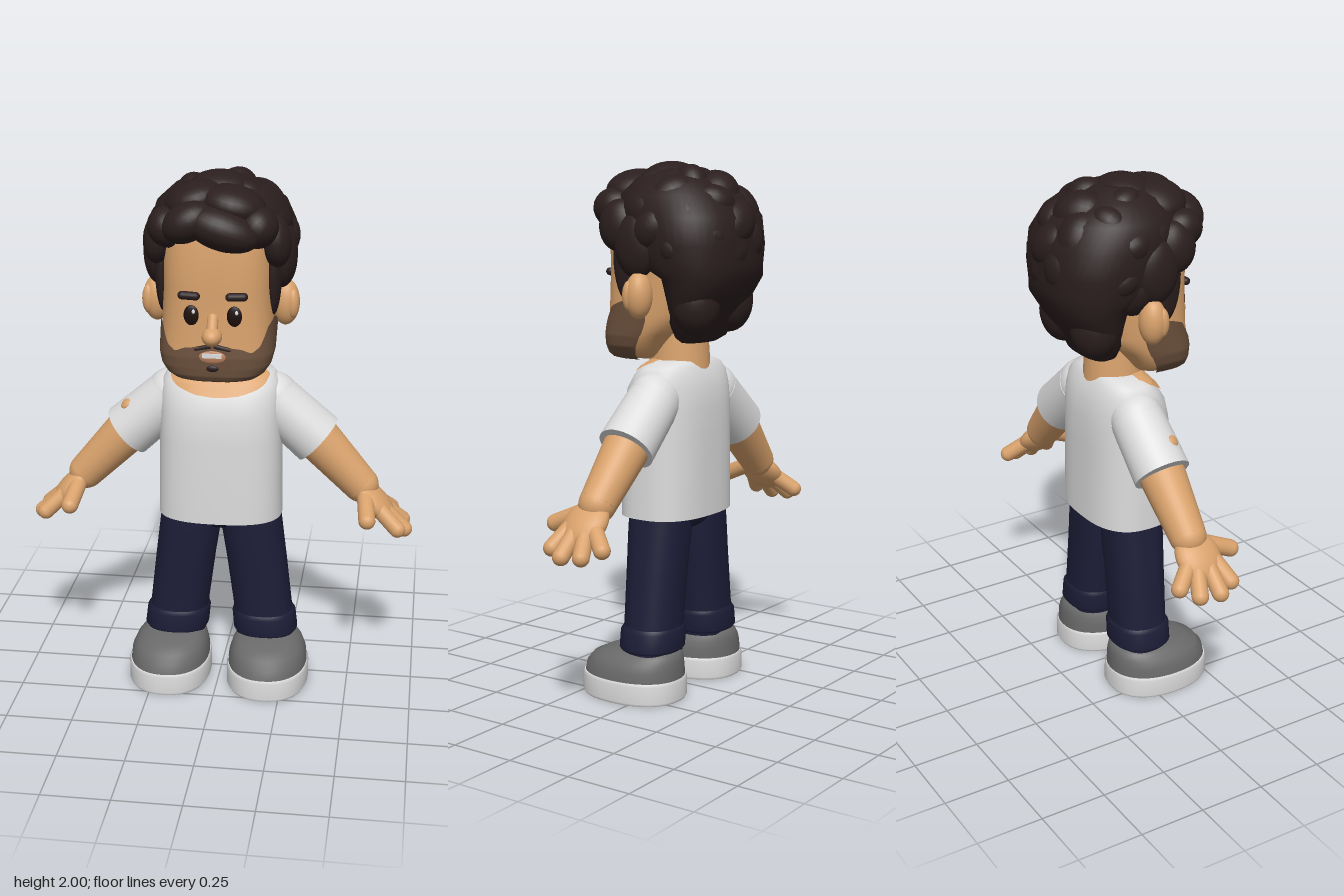
import * as THREE from 'three';

const mat = (name, color) => Object.assign(new THREE.MeshStandardMaterial({ color }), { name });
const V = (x, y, z) => new THREE.Vector3(x, y, z);
const lerp = THREE.MathUtils.lerp;

// Cross-section rows: [y, centreX, centreZ, radiusX, radiusZ]; n squares off the outline
function rowAt(rows, y) {
  let i = 0;
  while (i < rows.length - 2 && y > rows[i + 1][0]) i++;
  const a = rows[i], b = rows[i + 1];
  const t = THREE.MathUtils.clamp((y - a[0]) / (b[0] - a[0]), 0, 1);
  return a.map((v, k) => lerp(v, b[k], t));
}
function ringPoint([y, cx, cz, rx, rz], th, n, off = 0) {
  const s = Math.sin(th), c = Math.cos(th), e = 2 / n;
  return [cx + Math.sign(s) * Math.abs(s) ** e * (rx + off), y, cz + Math.sign(c) * Math.abs(c) ** e * (rz + off)];
}
function surface(pos, idx) {
  const g = new THREE.BufferGeometry();
  g.setAttribute('position', new THREE.Float32BufferAttribute(pos, 3));
  g.setIndex(idx);
  g.computeVertexNormals();
  return g;
}
// Closed body through the rows, with flat caps
function loft(rows, n = 2, seg = 48) {
  const flat = (r) => [r[0], r[1], r[2], 0, 0];
  const first = rows[0], last = rows[rows.length - 1];
  const all = [flat(first), first, ...rows, last, flat(last)];
  const pos = [], idx = [];
  all.forEach((r, j) => {
    for (let i = 0; i < seg; i++) pos.push(...ringPoint(r, (i / seg) * Math.PI * 2, n));
    if (j === 0) return;
    for (let i = 0; i < seg; i++) {
      const a = (j - 1) * seg + i, b = (j - 1) * seg + (i + 1) % seg;
      idx.push(a, b, b + seg, a, b + seg, a + seg);
    }
  });
  return surface(pos, idx);
}
// Thin skin lying just outside a lofted body, between low(th) and high(th)
function patch(rows, n, reach, low, high, off) {
  const pos = [], idx = [], S = 64, R = 40;
  for (let j = 0; j <= R; j++) for (let i = 0; i <= S; i++) {
    const th = lerp(-reach, reach, i / S);
    pos.push(...ringPoint(rowAt(rows, lerp(low(th), high(th), j / R)), th, n, off));
    if (i < S && j < R) {
      const a = j * (S + 1) + i, d = a + S + 1;
      idx.push(a, a + 1, d + 1, a, d + 1, d);
    }
  }
  return surface(pos, idx);
}
// Piecewise-linear lookup in [[x, y], ...]
const lookup = (table) => (th) => rowAt(table, Math.abs(th) * 180 / Math.PI)[1];

export function createModel() {
  const model = new THREE.Group();
  const skin = mat('skin', 0xd9a26c), hair = mat('hair', 0x2b1e1e), beard = mat('stubble', 0x6b503c);
  const shirt = mat('shirt', 0xdcdcdc), denim = mat('denim', 0x1d1d38), shoe = mat('shoe grey', 0x6a6a6a);
  const white = mat('white', 0xdedede), dark = mat('eye dark', 0x1c0f0c), lip = mat('lip', 0xb97f5c);

  const add = (name, geo, material, p = V(0, 0, 0)) => {
    const m = new THREE.Mesh(geo, material);
    m.name = name;
    m.position.copy(p);
    model.add(m);
    return m;
  };
  const ball = (name, material, p, rx, ry, rz) => {
    const m = add(name, new THREE.SphereGeometry(1, 24, 16), material, p);
    m.scale.set(rx, ry, rz);
    return m;
  };
  const along = (m, a, b) => {
    m.position.copy(a).lerp(b, 0.5);
    m.quaternion.setFromUnitVectors(V(0, 1, 0), b.clone().sub(a).normalize());
    return m;
  };
  const tube = (name, material, a, b, ra, rb) =>
    along(add(name, new THREE.CylinderGeometry(rb, ra, a.distanceTo(b), 32), material), a, b);
  const capsule = (name, material, a, b, r) =>
    along(add(name, new THREE.CapsuleGeometry(r, a.distanceTo(b), 8, 16), material), a, b);

  // Head and neck
  const headRows = [
    [1.268, 0, 0.14, 0.001, 0.001], [1.272, 0, 0.135, 0.1, 0.075], [1.282, 0, 0.13, 0.145, 0.1],
    [1.3, 0, 0.125, 0.172, 0.115], [1.33, 0, 0.115, 0.193, 0.128], [1.37, 0, 0.1, 0.203, 0.145],
    [1.45, 0, 0.05, 0.204, 0.188], [1.6, 0, 0.03, 0.2, 0.207], [1.78, 0, 0.03, 0.2, 0.21],
    [1.84, 0, 0.02, 0.18, 0.19], [1.88, 0, 0, 0.12, 0.12],
  ];
  add('head', loft(headRows, 3, 64), skin);
  add('neck', new THREE.CylinderGeometry(0.105, 0.12, 0.22, 32), skin, V(0, 1.28, -0.005));
  const beardTop = lookup([[0, 1.415], [20, 1.405], [32, 1.39], [45, 1.41], [60, 1.475], [80, 1.5], [95, 1.47], [106, 1.38]]);
  add('beard', patch(headRows, 3, 1.85, () => 1.268, beardTop, 0.006), beard, V(0, -0.005, 0));

  // Face
  ball('noseTip', skin, V(0, 1.45, 0.26), 0.036, 0.034, 0.046);
  capsule('noseBridge', skin, V(0, 1.51, 0.232), V(0, 1.46, 0.262), 0.02);
  ball('lips', lip, V(0, 1.37, 0.247), 0.052, 0.024, 0.008);
  add('teeth', new THREE.BoxGeometry(0.07, 0.016, 0.008), white, V(0, 1.377, 0.254));
  ball('chinTuft', hair, V(0, 1.328, 0.249), 0.022, 0.012, 0.007);
  for (const s of [-1, 1]) {
    ball('eye', dark, V(s * 0.077, 1.52, 0.237), 0.027, 0.037, 0.009);
    ball('eyeGlint', white, V(s * 0.077 + 0.009, 1.535, 0.245), 0.006, 0.008, 0.003);
    const brow = capsule('eyebrow', hair, V(s * 0.06, 1.59, 0.238), V(s * 0.11, 1.592, 0.236), 0.015);
    brow.scale.z = 1.1;
    const tache = capsule('moustache', hair, V(s * 0.012, 1.408, 0.243), V(s * 0.06, 1.396, 0.241), 0.009);
    tache.scale.z = 0.8;
    ball('ear', skin, V(s * 0.237, 1.52, 0.012), 0.052, 0.086, 0.05);
    ball('innerEar', skin, V(s * 0.265, 1.52, 0.035), 0.024, 0.055, 0.026);
  }

  // Hair: a solid base, curls scattered over the crown, and a swept fringe
  add('hairBase', loft([
    [1.34, 0, -0.09, 0.09, 0.045], [1.36, 0, -0.1, 0.13, 0.065], [1.42, 0, -0.105, 0.17, 0.085],
    [1.5, 0, -0.135, 0.208, 0.115], [1.58, 0, -0.15, 0.232, 0.15], [1.63, 0, -0.1, 0.25, 0.205],
    [1.7, 0, -0.09, 0.262, 0.22], [1.8, 0, -0.06, 0.265, 0.24], [1.88, 0, -0.025, 0.235, 0.225],
    [1.94, 0, -0.01, 0.17, 0.15], [1.975, 0, -0.01, 0.08, 0.07],
  ], 2.3), hair);
  const N = 46;
  for (let i = 0; i < N; i++) {
    const h = 1 - 2 * (i + 0.5) / N, r = Math.sqrt(1 - h * h), a = i * 2.39996;
    const d = V(r * Math.sin(a), h, r * Math.cos(a));
    const p = V(d.x * 0.205, 1.73 + d.y * 0.192, -0.03 + d.z * 0.215);
    if (p.y < 1.6 || (p.z > 0 && p.y < 1.74) || (p.z > 0.08 && p.y < 1.83)) continue;
    const k = 0.9 + 0.14 * Math.sin(i * 5.3);
    const curl = ball('curl', hair, p, 0.105 * k, 0.085 * k, 0.08);
    curl.lookAt(p.clone().add(d));
    curl.rotateZ(i * 1.7);
  }
  const locks = [
    [0.03, 1.83, 0.225, 0.14, 0.075, 0.09, -0.3], [-0.09, 1.85, 0.215, 0.1, 0.07, 0.085, 0.5],
    [0.15, 1.83, 0.18, 0.075, 0.075, 0.085, -0.7], [-0.17, 1.82, 0.17, 0.07, 0.075, 0.08, 0.6],
    [0.21, 1.77, 0.12, 0.055, 0.095, 0.08, 0.1], [-0.21, 1.77, 0.12, 0.055, 0.095, 0.08, -0.1],
    [0.06, 1.9, 0.15, 0.12, 0.07, 0.11, -0.2], [-0.08, 1.91, 0.12, 0.11, 0.065, 0.11, 0.3],
    [0, 1.93, 0.03, 0.12, 0.07, 0.11, 0],
  ];
  for (const [x, y, z, rx, ry, rz, tilt] of locks) ball('fringeLock', hair, V(x, y, z), rx, ry, rz).rotation.z = tilt;
  for (const s of [-1, 1]) {
    ball('sideburn', hair, V(s * 0.2, 1.66, 0.085), 0.03, 0.17, 0.065);
    ball('sideLock', hair, V(s * 0.225, 1.7, 0.03), 0.055, 0.12, 0.09);
    ball('napeLock', hair, V(s * 0.11, 1.49, -0.15), 0.095, 0.12, 0.09);
  }

  // Shirt body with scooped neckline
  const torsoRows = [
    [0.69, 0, 0.01, 0.235, 0.165], [1, 0, 0.01, 0.23, 0.164], [1.1, 0, 0.005, 0.228, 0.158],
    [1.17, 0, 0, 0.226, 0.145], [1.22, 0, -0.008, 0.218, 0.122], [1.25, 0, -0.014, 0.195, 0.1],
    [1.27, 0, -0.018, 0.14, 0.085], [1.275, 0, -0.018, 0.1, 0.07],
  ];
  add('shirtBody', loft(torsoRows, 2.6), shirt);
  const neckline = lookup([[0, 1.178], [15, 1.185], [35, 1.205], [55, 1.235], [75, 1.262], [90, 1.27]]);
  add('necklineSkin', patch(torsoRows, 2.6, 1.4, neckline, () => 1.275, 0.004), skin, V(0, 0.003, 0));

  // Hips
  ball('hips', denim, V(0, 0.69, 0), 0.2, 0.075, 0.108);

  for (const s of [-1, 1]) {
    // Sleeve, forearm and hand
    const P = (x, y, z) => V(s * x, y, z);
    const shoulder = P(0.19, 1.135, -0.022), cuff = P(0.365, 0.98, -0.022), wrist = P(0.53, 0.805, -0.018);
    ball('shoulder', shirt, shoulder, 0.102, 0.102, 0.098);
    tube('sleeve', shirt, shoulder, cuff, 0.1, 0.106);
    tube('forearm', skin, cuff, wrist, 0.086, 0.068);
    ball('wrist', skin, wrist, 0.068, 0.068, 0.068);
    const palm = ball('palm', skin, P(0.585, 0.745, -0.008), 0.045, 0.1, 0.088);
    palm.rotation.z = s * 0.78;
    const fingers = [
      [0.6, 0.73, -0.06, 0.645, 0.675, -0.125], [0.62, 0.715, -0.035, 0.69, 0.65, -0.068],
      [0.625, 0.715, 0.01, 0.7, 0.645, 0.012], [0.61, 0.725, 0.045, 0.675, 0.665, 0.072],
    ];
    for (const f of fingers) capsule('finger', skin, P(...f.slice(0, 3)), P(...f.slice(3)), 0.031);
    capsule('thumb', skin, P(0.55, 0.775, 0.03), P(0.563, 0.725, 0.145), 0.032);

    // Trouser leg with turned-up cuff
    add('trouserLeg', loft([
      [0.18, s * 0.175, 0, 0.115, 0.105], [0.3, s * 0.163, 0, 0.113, 0.104],
      [0.5, s * 0.138, 0.002, 0.115, 0.108], [0.62, s * 0.121, 0.003, 0.117, 0.113], [0.71, s * 0.115, 0.003, 0.112, 0.113],
    ], 2.3), denim);
    add('trouserCuff', loft([
      [0.19, s * 0.175, 0, 0.117, 0.108], [0.2, s * 0.175, 0, 0.124, 0.115],
      [0.265, s * 0.168, 0, 0.123, 0.114], [0.28, s * 0.166, 0, 0.114, 0.106],
    ], 2.3), denim);

    // Shoe
    add('sole', loft([[0.005, s * 0.192, 0.07, 0.152, 0.2], [0.015, s * 0.192, 0.07, 0.158, 0.205],
      [0.08, s * 0.192, 0.07, 0.158, 0.204], [0.09, s * 0.192, 0.07, 0.153, 0.2]], 2.3), white);
    add('shoeUpper', loft([
      [0.085, s * 0.192, 0.07, 0.152, 0.199], [0.125, s * 0.191, 0.066, 0.149, 0.194], [0.155, s * 0.189, 0.055, 0.137, 0.18],
      [0.177, s * 0.185, 0.035, 0.12, 0.155], [0.19, s * 0.18, 0.01, 0.1, 0.118], [0.195, s * 0.178, 0, 0.08, 0.09],
    ], 2.2), shoe);
  }

  // Small bare spot on the right sleeve
  const spot = ball('sleeveSpot', skin, V(-0.362, 1.103, 0.026), 0.022, 0.022, 0.008);
  spot.lookAt(spot.position.clone().add(V(-0.6, 0.65, 0.46)));

  return model;
}
